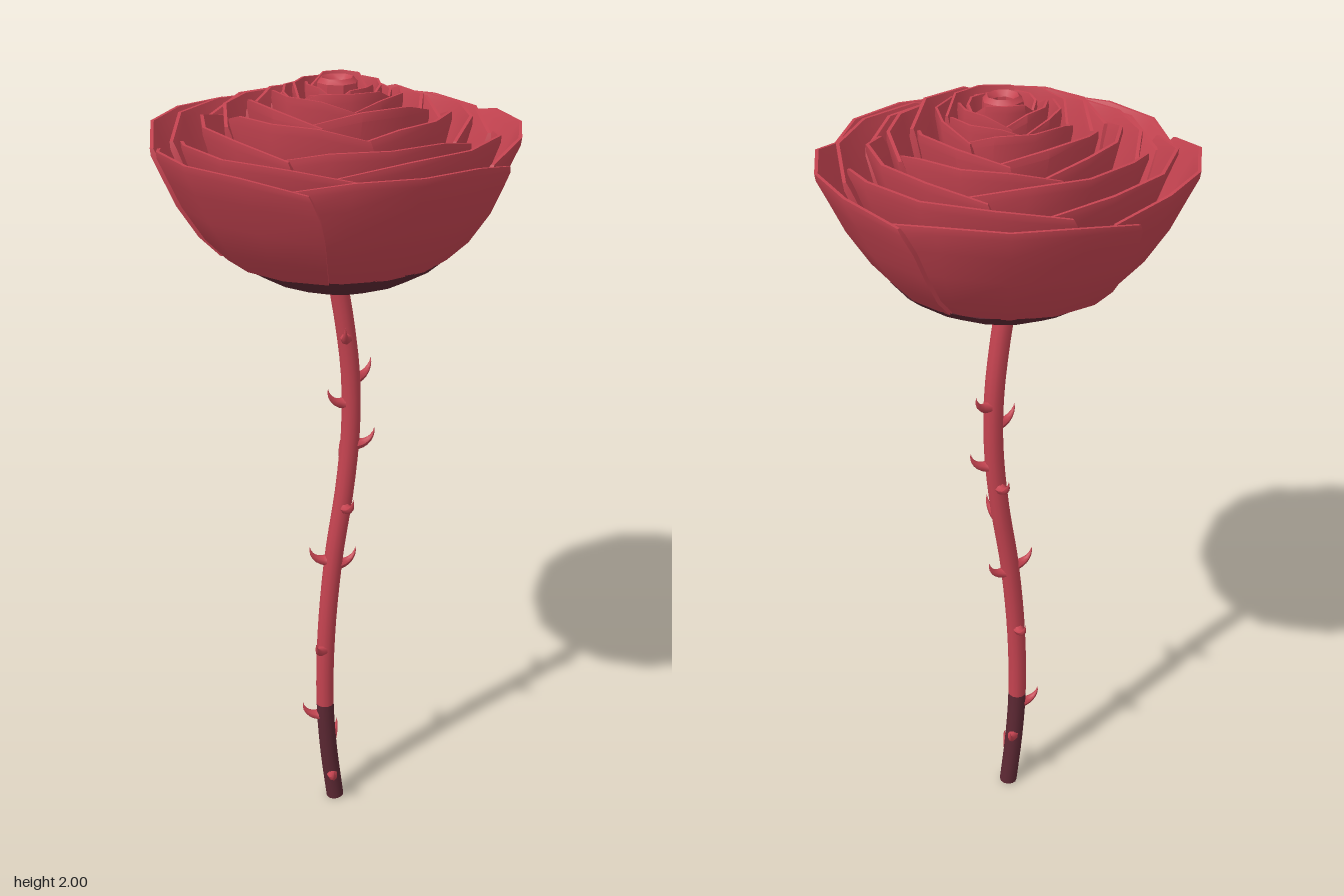
import * as THREE from 'three';
import { toCreasedNormals } from 'three/addons/utils/BufferGeometryUtils.js';

const red = new THREE.MeshStandardMaterial({ color: 0xc44350, side: THREE.DoubleSide });
red.name = 'rose red';
const dark = new THREE.MeshStandardMaterial({ color: 0x5c2833, side: THREE.DoubleSide });
dark.name = 'dark wine';

const stemCurve = new THREE.CatmullRomCurve3([
  [-0.008, 0], [-0.026, 0.16], [-0.036, 0.33], [-0.031, 0.55], [-0.01, 0.78], [0.017, 0.96],
  [0.033, 1.13], [0.032, 1.28], [0.016, 1.42], [-0.004, 1.54],
].map(([x, y]) => new THREE.Vector3(x, y, -0.012)));

// Outer petal profile: [height fraction, radius fraction]
const PROFILE = [[0, 0.64], [0.2, 0.76], [0.5, 0.875], [0.75, 0.94], [0.94, 0.99]];

// One thick curved petal: a closed cross-section swept round an arc, with drooping corners
function petalGeometry({ radius, base, top, start, span, segments, thickness, spiral, bulge }) {
  const section = [
    ...PROFILE.map(([v, r]) => [v, r, 1]),
    [1, 1, 0.55], [1, 1, -0.55],
    ...PROFILE.slice().reverse().map(([v, r]) => [v, r, -1]),
  ];
  const rows = section.length;
  const columns = [[0, 0]];
  for (let i = 0; i <= segments; i++) columns.push([i / segments, 1]);
  columns.push([1, 0]);
  const pos = [], index = [];
  for (const [u, thick] of columns) {
    const s = 2 * u - 1;
    const droop = 0.03 * Math.pow(Math.abs(s), 4);
    for (const [v, ratio, side] of section) {
      const a = start + span * (0.5 + 0.5 * s * (1 - 0.1 * Math.pow(v, 4)));
      const r = radius * ratio * (1 - spiral * u + bulge * v * (1 - s * s)) + side * thick * thickness / 2;
      const y = base + (top - base - droop) * v;
      pos.push(Math.cos(a) * r, y, Math.sin(a) * r);
    }
  }
  for (let c = 0; c < columns.length - 1; c++) {
    for (let k = 0; k < rows; k++) {
      const n = (k + 1) % rows;
      const a = c * rows + k, b = c * rows + n, d = a + rows, e = b + rows;
      index.push(a, b, d, b, e, d);
    }
  }
  const g = new THREE.BufferGeometry();
  g.setAttribute('position', new THREE.Float32BufferAttribute(pos, 3));
  g.setIndex(index);
  return toCreasedNormals(g, 0.65);
}

// Hooked thorn leaving along +x and curling upward on a circular arc
function thornGeometry() {
  const length = 0.068, turn = 1.6, R = length / turn;
  const g = new THREE.ConeGeometry(0.015, length, 7, 6);
  g.rotateZ(-Math.PI / 2);
  g.translate(length / 2, 0, 0);
  const p = g.attributes.position;
  for (let i = 0; i < p.count; i++) {
    const a = p.getX(i) / R, y = p.getY(i);
    p.setXY(i, (R - y) * Math.sin(a), R - (R - y) * Math.cos(a));
  }
  g.computeVertexNormals();
  return g;
}

export function createModel() {
  const model = new THREE.Group();
  model.name = 'rose';
  const add = (parent, name, geometry, material) => {
    const mesh = new THREE.Mesh(geometry, material);
    mesh.name = name;
    parent.add(mesh);
    return mesh;
  };

  // Stem with a dark lower end
  const tube = new THREE.TubeGeometry(stemCurve, 29, 0.024, 12);
  const split = 6 * 12 * 6;
  tube.addGroup(0, split, 0);
  tube.addGroup(split, tube.index.count - split, 1);
  add(model, 'stem', tube, [dark, red]);
  const cap = add(model, 'stemEnd', new THREE.CircleGeometry(0.024, 12), dark);
  cap.rotation.x = Math.PI / 2;
  cap.position.set(-0.008, 0.001, -0.012);

  // Thorns: [height, direction in degrees from +x towards +z]
  const thorns = new THREE.Group();
  thorns.name = 'thorns';
  model.add(thorns);
  const thornShape = thornGeometry();
  const curvePoints = stemCurve.getPoints(200);
  for (const [y, deg] of [
    [1.38, 110], [1.265, -20], [1.205, 175], [1.09, 12], [1.03, -90], [0.92, 80], [0.765, 185],
    [0.75, 0], [0.56, -85], [0.5, 130], [0.28, 190], [0.18, -50], [0.085, 100],
  ]) {
    const p = curvePoints.reduce((m, q) => (Math.abs(q.y - y) < Math.abs(m.y - y) ? q : m));
    const a = deg * Math.PI / 180;
    const thorn = add(thorns, 'thorn', thornShape, red);
    thorn.position.set(p.x + Math.cos(a) * 0.019, y, p.z + Math.sin(a) * 0.019);
    thorn.rotation.y = -a;
  }

  // Dark cup under the petals
  const lathe = (points, sides) =>
    new THREE.LatheGeometry(points.map(([x, y]) => new THREE.Vector2(x, y)), sides);
  add(model, 'cup', lathe([[0, 1.515], [0.08, 1.517], [0.18, 1.555], [0.235, 1.587], [0.264, 1.612]], 18), dark);

  // Petal rings from outside in: [radius, top, petals, segments per petal, first angle, base]
  const flower = new THREE.Group();
  flower.name = 'flower';
  model.add(flower);
  const rings = [
    [0.41, 1.878, 5, 4, -106, 1.608],
    [0.366, 1.893, 4, 4, -88, 1.61],
    [0.306, 1.912, 4, 4, -60, 1.61],
    [0.25, 1.935, 4, 4, -95, 1.62],
    [0.2, 1.957, 4, 3, -70, 1.65],
    [0.146, 1.97, 3, 4, -40, 1.68],
    [0.122, 1.978, 3, 4, 20, 1.68],
    [0.096, 1.985, 3, 4, -80, 1.7],
    [0.073, 1.992, 3, 4, -20, 1.75],
  ];
  rings.forEach(([radius, top, count, segments, first, base], ring) => {
    const group = new THREE.Group();
    group.name = 'petalRing' + (ring + 1);
    const inward = ring / (rings.length - 1);
    group.position.set(-0.01, 0, 0.022 * inward);
    const step = Math.PI * 2 / count;
    for (let i = 0; i < count; i++) {
      add(group, 'petal', petalGeometry({
        radius,
        base,
        top: top + 0.008 * Math.sin(i * 1.9 + ring * 1.3),
        start: first * Math.PI / 180 + i * step,
        span: step * 1.22,
        segments,
        thickness: ring < 5 ? 0.014 : 0.01,
        spiral: ring === 0 ? 0.04 : 0.06,
        bulge: ring === 0 ? 0.05 : 0.03,
      }), red);
    }
    flower.add(group);
  });

  // Dark hollow round the inner petals
  const hollow = add(flower, 'hollow', lathe([[0.1, 1.84], [0.18, 1.87]], 14), dark);
  hollow.position.set(-0.01, 0, 0.012);

  // Rolled bud in the middle
  const budProfile = [[0.03, 1.8], [0.05, 1.93], [0.046, 1.99], [0.036, 2.0], [0.024, 1.988], [0.02, 1.95]];
  const bud = add(flower, 'bud', toCreasedNormals(lathe(budProfile, 8), 0.6), red);
  const core = add(flower, 'budCore', new THREE.CylinderGeometry(0.021, 0.021, 0.04, 8), red);
  bud.position.set(-0.012, 0, 0.022);
  core.position.set(-0.012, 1.945, 0.022);

  return model;
}
